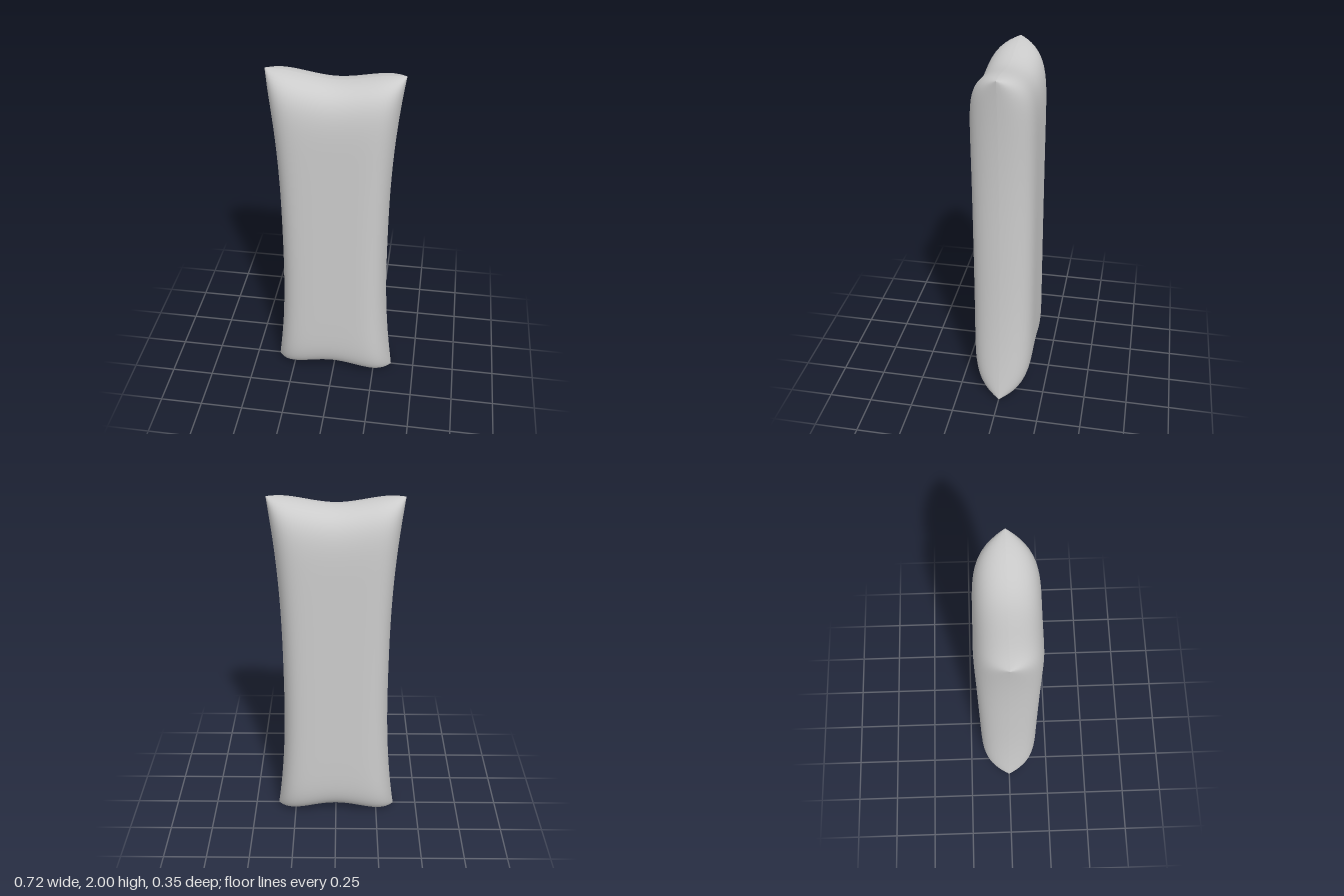
import * as THREE from 'three';

const HALF_DEPTH = 0.175;

// One puffed panel: a grid bent to the concave outline and inflated away from the seam
function panelGeometry() {
  const geometry = new THREE.PlaneGeometry(2, 2, 32, 56);
  const p = geometry.attributes.position;
  for (let i = 0; i < p.count; i++) {
    // crowd the rows towards the seam, where the curvature is greatest
    const u = Math.sin(p.getX(i) * Math.PI / 2);
    const v = Math.sin(p.getY(i) * Math.PI / 2);
    const a = Math.abs(u), b = Math.abs(v);
    const halfWidth = 0.3 + 0.06 * b ** 2.5;
    const dip = 1 - THREE.MathUtils.smoothstep(a, 0, 0.9);
    const halfHeight = 1 - (v > 0 ? 0.04 : 0.05) * dip;
    const puff = Math.sqrt(Math.max(0, (1 - a ** 6) * (1 - b ** 12)));
    p.setXYZ(i, u * halfWidth, 1 + v * halfHeight, HALF_DEPTH * puff);
  }
  geometry.computeVertexNormals();
  return geometry;
}

export function createModel() {
  const model = new THREE.Group();
  model.name = 'cushion';
  const material = new THREE.MeshStandardMaterial({ color: 0xcccccc, side: THREE.DoubleSide });
  const geometry = panelGeometry();

  // Front and back panels meet at the seam, which stays a crease
  const front = new THREE.Mesh(geometry, material);
  front.name = 'frontPanel';
  const back = new THREE.Mesh(geometry, material);
  back.name = 'backPanel';
  back.rotation.y = Math.PI;

  model.add(front, back);
  return model;
}
